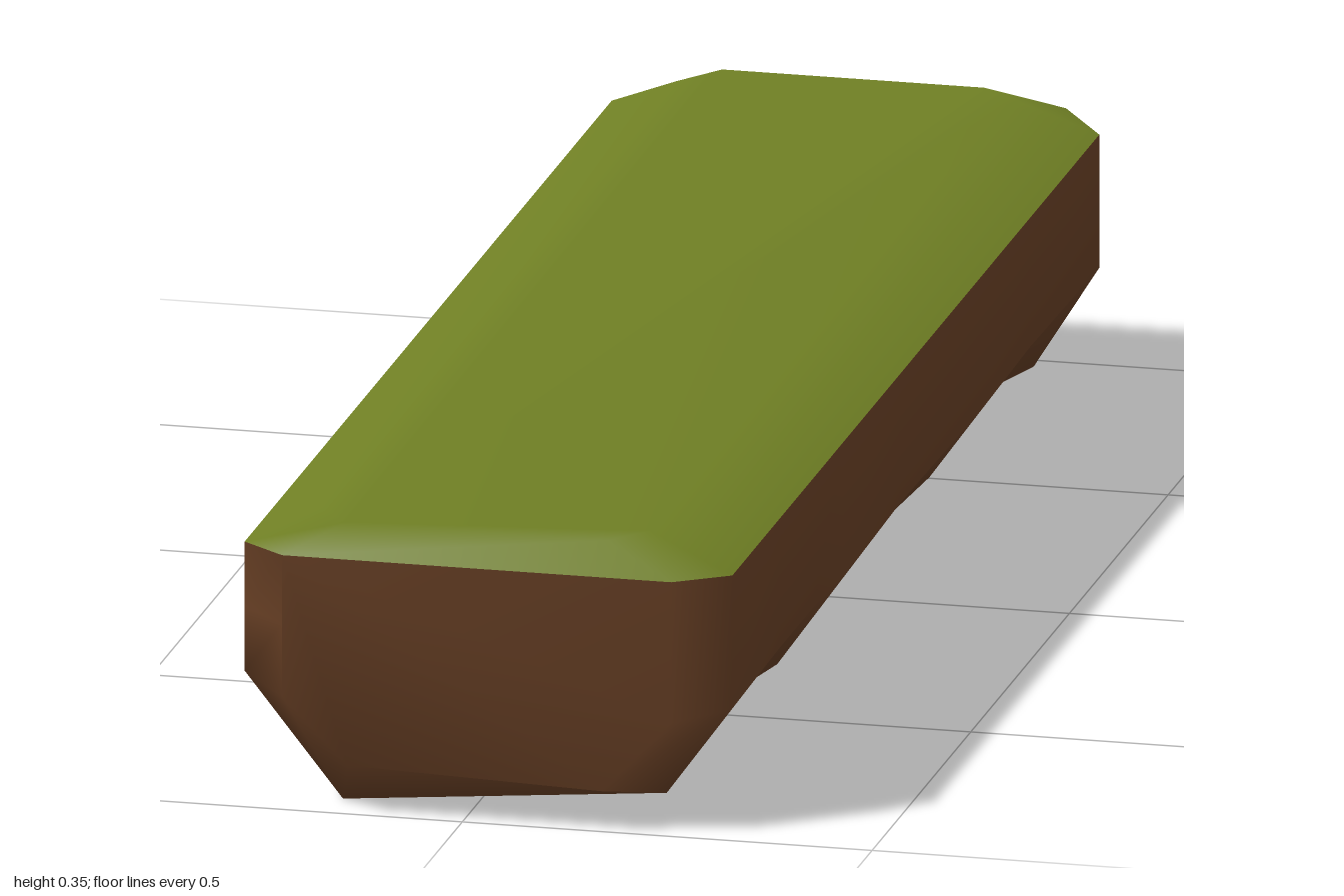
import * as THREE from 'three';

const soil = new THREE.MeshStandardMaterial({ color: 0x643d23 });
soil.name = 'soil brown';
const grass = new THREE.MeshStandardMaterial({ color: 0x6f7f24 });
grass.name = 'grass green';

const LEFT = -0.28, RIGHT = 0.315, RIM = 0.31, END_RIM = 0.315;

function makeMesh(name, points, faces, material) {
  const geometry = new THREE.BufferGeometry();
  geometry.setAttribute('position', new THREE.Float32BufferAttribute(points.flat(), 3));
  geometry.setIndex(faces.flat());
  geometry.computeVertexNormals();
  const mesh = new THREE.Mesh(geometry, material);
  mesh.name = name;
  return mesh;
}

// Soil: open-topped cross-sections lofted from front to back
function createSoil() {
  // z, then x and y of: lower left, bottom left, bottom right, lower right
  const stations = [
    [1.0, -0.22, 0.14, -0.14, 0.06, 0.17, 0.05, 0.255, 0.14],
    [0.94, -0.28, 0.15, -0.16, 0.0, 0.235, 0.035, 0.315, 0.145],
    [0.7, -0.32, 0.147, -0.19, 0.05, 0.23, 0.05, 0.315, 0.15],
    [0.53, -0.28, 0.15, -0.18, 0.045, 0.22, 0.04, 0.315, 0.15],
    [0.38, -0.28, 0.15, -0.15, 0.04, 0.235, 0.03, 0.315, 0.145],
    [0.09, -0.28, 0.093, -0.21, 0.05, 0.21, 0.04, 0.315, 0.15],
    [-0.35, -0.28, 0.17, -0.15, 0.06, 0.245, 0.048, 0.315, 0.145],
    [-0.57, -0.28, 0.15, -0.17, 0.045, 0.19, 0.05, 0.315, 0.15],
    [-0.92, -0.28, 0.145, -0.185, 0.016, 0.235, 0.017, 0.315, 0.145],
    [-1.0, -0.22, 0.14, -0.14, 0.05, 0.17, 0.05, 0.255, 0.14],
  ];
  const points = [], faces = [], n = 7, last = stations.length - 1;
  stations.forEach(([z, lx, ly, blx, bly, brx, bry, rx, ry], i) => {
    const end = i === 0 || i === last;
    const left = end ? -0.22 : LEFT, right = end ? 0.255 : RIGHT, rim = end ? END_RIM : RIM;
    points.push([left, rim, z], [left, 0.23, z], [lx, ly, z], [blx, bly, z],
      [brx, bry, z], [rx, ry, z], [right, rim, z]);
    if (i === last) return;
    for (let j = 0; j < n - 1; j++) {
      const a = i * n + j, b = a + 1, d = a + n, c = d + 1;
      faces.push([a, d, c], [a, c, b]);
    }
  });
  // Front and back caps
  const back = last * n;
  for (let j = 1; j < n - 1; j++) {
    faces.push([0, j, j + 1], [back, back + j + 1, back + j]);
  }
  return makeMesh('soil', points, faces, soil);
}

// Grass: chamfered outline sloping up to a smaller flat top
function createGrass() {
  const rim = [
    [-0.22, END_RIM, 1], [0.255, END_RIM, 1], [RIGHT, RIM, 0.94], [RIGHT, RIM, -0.92],
    [0.255, END_RIM, -1], [-0.22, END_RIM, -1], [LEFT, RIM, -0.92], [LEFT, RIM, 0.94],
  ];
  const top = [
    [-0.15, 0.97], [0.17, 0.97], [0.21, 0.92], [0.21, -0.88],
    [0.17, -0.94], [-0.15, -0.94], [-0.19, -0.88], [-0.19, 0.92],
  ].map(([x, z]) => [x, 0.352, z]);
  const n = rim.length, faces = [];
  for (let j = 0; j < n; j++) {
    const k = (j + 1) % n;
    faces.push([j, k, n + k], [j, n + k, n + j]);
    if (j > 0 && j < n - 1) faces.push([n, n + j, n + j + 1]);
  }
  return makeMesh('grassTop', [...rim, ...top], faces, grass);
}

export function createModel() {
  const model = new THREE.Group();
  model.name = 'grassyGroundBlock';
  model.add(createSoil(), createGrass());
  return model;
}
